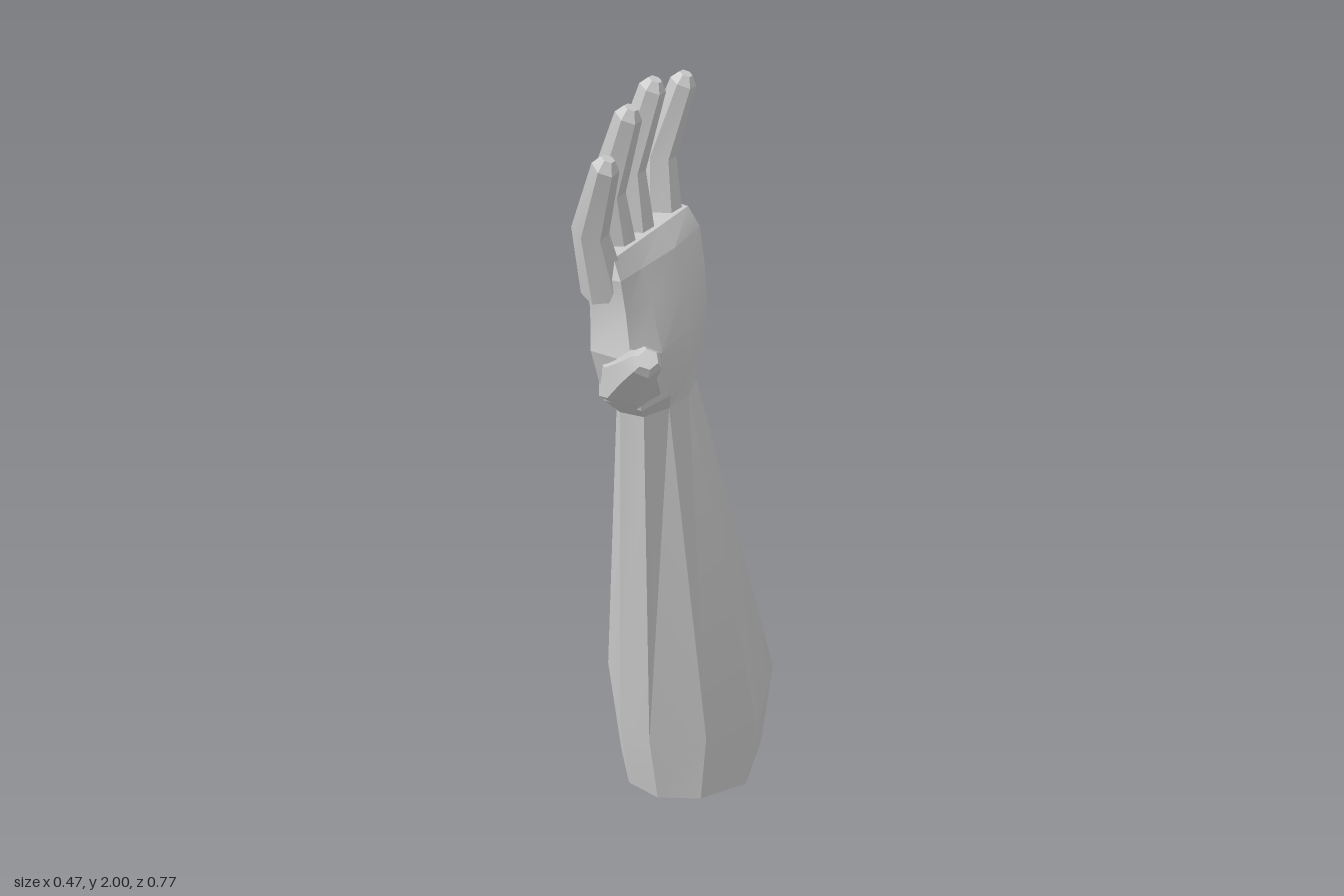
import * as THREE from 'three';
import { toCreasedNormals } from 'three/addons/utils/BufferGeometryUtils.js';

const material = new THREE.MeshStandardMaterial({ color: 0xcccccc, side: THREE.DoubleSide });

// Skin a stack of equal-length rings of Vector3, optionally closing the last one
function loft(name, rings, capEnd) {
  const n = rings[0].length;
  const points = rings.flat();
  const index = [];
  for (let i = 0; i < rings.length - 1; i++) {
    for (let j = 0; j < n; j++) {
      const k = (j + 1) % n;
      const a = i * n + j, b = i * n + k, c = a + n, d = b + n;
      index.push(a, c, b, b, c, d);
    }
  }
  if (capEnd) {
    const last = rings[rings.length - 1];
    const centre = last.reduce((s, p) => s.add(p), new THREE.Vector3()).divideScalar(n);
    const base = points.length - n;
    points.push(centre);
    for (let j = 0; j < n; j++) index.push(points.length - 1, base + (j + 1) % n, base + j);
  }
  const geometry = new THREE.BufferGeometry().setFromPoints(points);
  geometry.setIndex(index);
  const mesh = new THREE.Mesh(toCreasedNormals(geometry, 0.35), material);
  mesh.name = name;
  return mesh;
}

// Horizontal ring from [x, z] corners, running back, +x, front, -x
const level = (y, corners) => corners.map(([x, z]) => new THREE.Vector3(x, y, z));

// Tapered digit: each joint is [x, y, z, half depth, half width]
function digit(name, joints, sides = 6) {
  const centres = joints.map(j => new THREE.Vector3(j[0], j[1], j[2]));
  const rings = joints.map(([, , , depth, width], i) => {
    const before = centres[Math.max(i - 1, 0)];
    const after = centres[Math.min(i + 1, centres.length - 1)];
    const along = after.clone().sub(before).normalize();
    const across = new THREE.Vector3(0, 0, 1);
    across.addScaledVector(along, -across.dot(along)).normalize();
    const inward = along.clone().cross(across);
    return Array.from({ length: sides }, (_, k) => {
      const a = (k / sides) * Math.PI * 2;
      return centres[i].clone()
        .addScaledVector(across, -Math.cos(a) * width)
        .addScaledVector(inward, Math.sin(a) * depth);
    });
  });
  return loft(name, rings, true);
}

export function createModel() {
  const group = new THREE.Group();
  group.name = 'arm';

  const wrist = level(1.22, [[-0.03, -0.15], [0.02, -0.14], [0.05, -0.06], [0.045, 0.02], [0.02, 0.09],
    [-0.04, 0.1], [-0.09, 0.04], [-0.1, -0.05], [-0.08, -0.13]]);

  // Forearm, open at the cut end, widest a little above it
  const elbow = level(0.25, [[-0.03, -0.39], [0.13, -0.38], [0.19, -0.19], [0.12, -0.05], [0, 0.04],
    [-0.1, 0.03], [-0.24, -0.12], [-0.24, -0.2], [-0.19, -0.295]]);
  [0.27, 0.26, 0.22, 0.22, 0.22, 0.24, 0.28, 0.28, 0.28].forEach((y, i) => { elbow[i].y = y; });
  group.add(loft('forearm', [
    level(0, [[-0.03, -0.37], [0.11, -0.365], [0.17, -0.18], [0.1, -0.06], [0, 0],
      [-0.1, -0.01], [-0.2, -0.12], [-0.215, -0.2], [-0.17, -0.29]]),
    elbow,
    wrist,
  ], false));

  // Palm, from the wrist to the knuckles
  group.add(loft('palm', [
    wrist,
    level(1.28, [[-0.05, -0.185], [0.01, -0.175], [0.055, -0.06], [0.075, 0.06], [0.06, 0.16],
      [-0.04, 0.165], [-0.095, 0.09], [-0.125, -0.04], [-0.11, -0.16]]),
    level(1.42, [[-0.06, -0.19], [0.03, -0.17], [0.07, -0.05], [0.09, 0.12], [0.06, 0.2],
      [-0.05, 0.2], [-0.11, 0.1], [-0.13, -0.02], [-0.135, -0.14]]),
    level(1.52, [[-0.07, -0.19], [0.02, -0.17], [0.05, -0.04], [0.05, 0.1], [0.03, 0.175],
      [-0.06, 0.185], [-0.11, 0.1], [-0.135, -0.02], [-0.14, -0.14]]),
    level(1.6, [[-0.075, -0.19], [0, -0.18], [0.02, -0.04], [0.02, 0.1], [0.02, 0.18],
      [-0.07, 0.195], [-0.115, 0.1], [-0.135, -0.02], [-0.14, -0.15]]),
    level(1.645, [[-0.075, -0.18], [-0.03, -0.175], [-0.02, -0.04], [-0.01, 0.1], [-0.005, 0.17],
      [-0.07, 0.18], [-0.1, 0.1], [-0.115, -0.02], [-0.12, -0.15]]),
  ], true));

  // Fingers: base, bend and tip centres
  const fingers = {
    littleFinger: [[-0.08, 1.58, -0.14], [-0.09, 1.775, -0.14], [-0.025, 1.955, -0.143]],
    ringFinger: [[-0.07, 1.58, -0.01], [-0.085, 1.785, -0.005], [-0.02, 1.98, -0.01]],
    middleFinger: [[-0.065, 1.58, 0.07], [-0.07, 1.77, 0.098], [0.005, 1.96, 0.122]],
    indexFinger: [[-0.045, 1.55, 0.15], [-0.045, 1.715, 0.2], [0.03, 1.89, 0.246]],
  };
  for (const [name, [base, bend, tip]] of Object.entries(fingers)) {
    const end = [tip[0] + 0.007, tip[1] + 0.02, tip[2]];
    group.add(digit(name, [
      [...base, 0.055, 0.05],
      [...bend, 0.045, 0.034],
      [...tip, 0.032, 0.026],
      [...end, 0.016, 0.014],
    ]));
  }

  // Thumb, reaching forward and outward from the palm
  group.add(digit('thumb', [
    [0, 1.33, 0.12, 0.08, 0.08],
    [0.06, 1.375, 0.195, 0.068, 0.07],
    [0.13, 1.455, 0.28, 0.045, 0.048],
    [0.2, 1.525, 0.35, 0.034, 0.036],
    [0.212, 1.54, 0.362, 0.022, 0.024],
  ]));

  return group;
}
